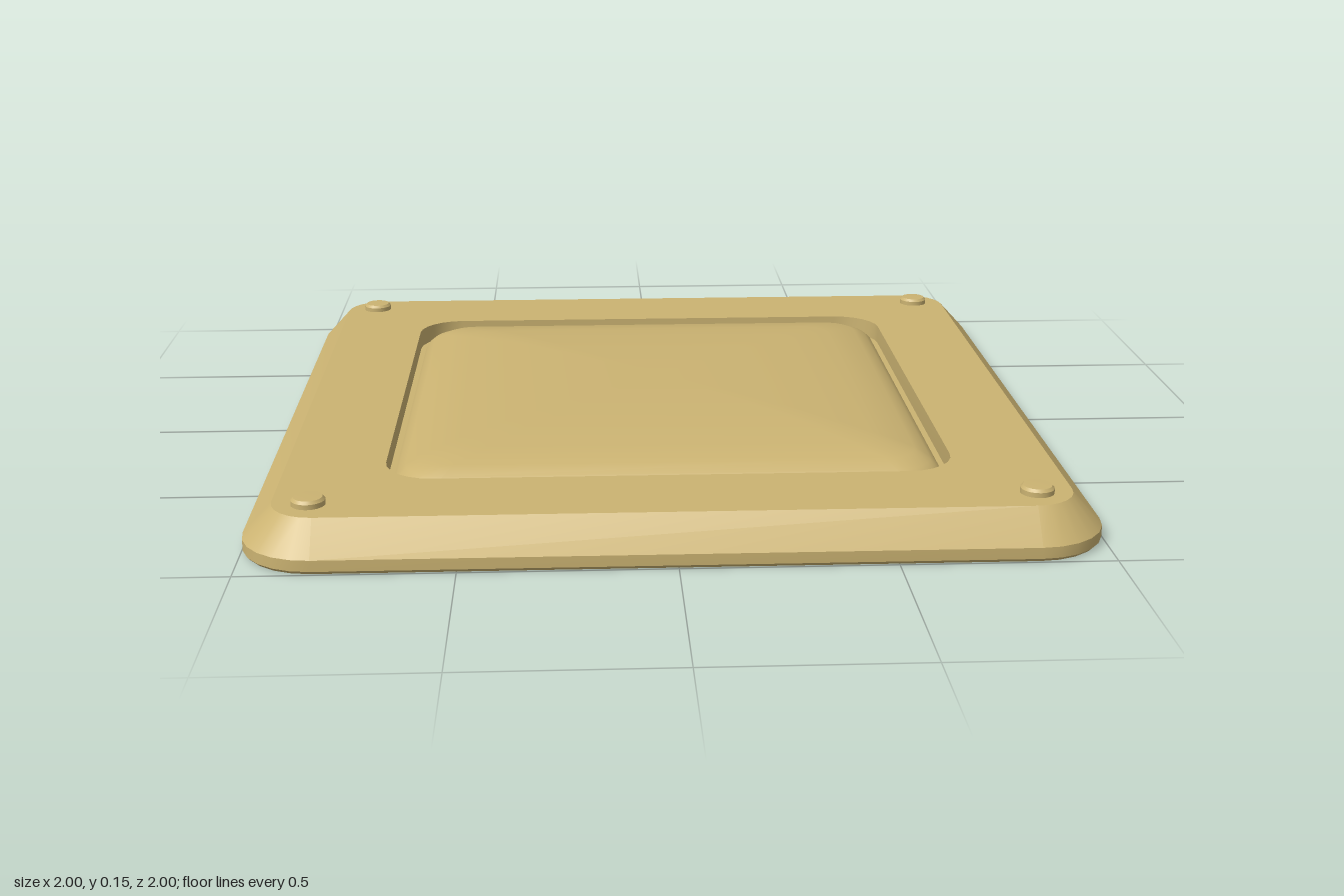
import * as THREE from 'three';
import { toCreasedNormals } from 'three/addons/utils/BufferGeometryUtils.js';

const CORNER_STEPS = 6;

// Rounded square outline, running from +x towards +z
function ring(half, radius, y) {
  const points = [];
  for (let corner = 0; corner < 4; corner++) {
    const mid = Math.PI / 4 + corner * Math.PI / 2;
    const cx = Math.sign(Math.cos(mid)) * (half - radius);
    const cz = Math.sign(Math.sin(mid)) * (half - radius);
    for (let i = 0; i <= CORNER_STEPS; i++) {
      const a = (corner + i / CORNER_STEPS) * Math.PI / 2;
      points.push([cx + radius * Math.cos(a), y, cz + radius * Math.sin(a)]);
    }
  }
  return points;
}

// Joins [half width, corner radius, height] sections; a zero width closes the end
function loft(sections) {
  const rings = sections.map(([h, r, y]) => ring(h, r, y));
  const n = rings[0].length;
  const positions = [];
  for (let i = 0; i < rings.length - 1; i++) {
    for (let j = 0; j < n; j++) {
      const k = (j + 1) % n;
      const a = rings[i][j], b = rings[i][k], c = rings[i + 1][j], d = rings[i + 1][k];
      if (sections[i][0] > 0) positions.push(...a, ...c, ...b);
      if (sections[i + 1][0] > 0) positions.push(...b, ...c, ...d);
    }
  }
  const geometry = new THREE.BufferGeometry();
  geometry.setAttribute('position', new THREE.Float32BufferAttribute(positions, 3));
  return toCreasedNormals(geometry, 0.53);
}

export function createModel() {
  const group = new THREE.Group();
  const sand = new THREE.MeshStandardMaterial({ color: 0xcbb372 });
  sand.name = 'sand';

  function add(name, geometry) {
    const mesh = new THREE.Mesh(geometry, sand);
    mesh.name = name;
    group.add(mesh);
    return mesh;
  }

  // Bevelled frame with a closed underside and a sunken inner wall
  add('frame', loft([
    [0, 0, 0],
    [0.993, 0.17, 0],
    [1, 0.175, 0.008],
    [1, 0.175, 0.035],
    [0.93, 0.105, 0.11],
    [0.69, 0.12, 0.11],
    [0.69, 0.12, 0.06],
    [0.675, 0.105, 0.06],
  ]));

  // Pillow-shaped centre panel
  add('centrePanel', loft([
    [0.675, 0.105, 0.06],
    [0.665, 0.1, 0.078],
    [0.645, 0.095, 0.097],
    [0.61, 0.085, 0.114],
    [0.52, 0.07, 0.127],
    [0.4, 0.05, 0.139],
    [0.24, 0.03, 0.146],
    [0, 0, 0.149],
  ]));

  // Corner studs
  const profile = [[0.04, 0.1], [0.04, 0.122], [0.034, 0.129], [0, 0.13]]
    .map(([r, y]) => new THREE.Vector2(r, y));
  const studGeometry = toCreasedNormals(new THREE.LatheGeometry(profile, 20), 0.5);
  for (const x of [-1, 1]) {
    for (const z of [-1, 1]) {
      add('cornerStud', studGeometry).position.set(x * 0.843, 0, z * 0.843);
    }
  }
  return group;
}
